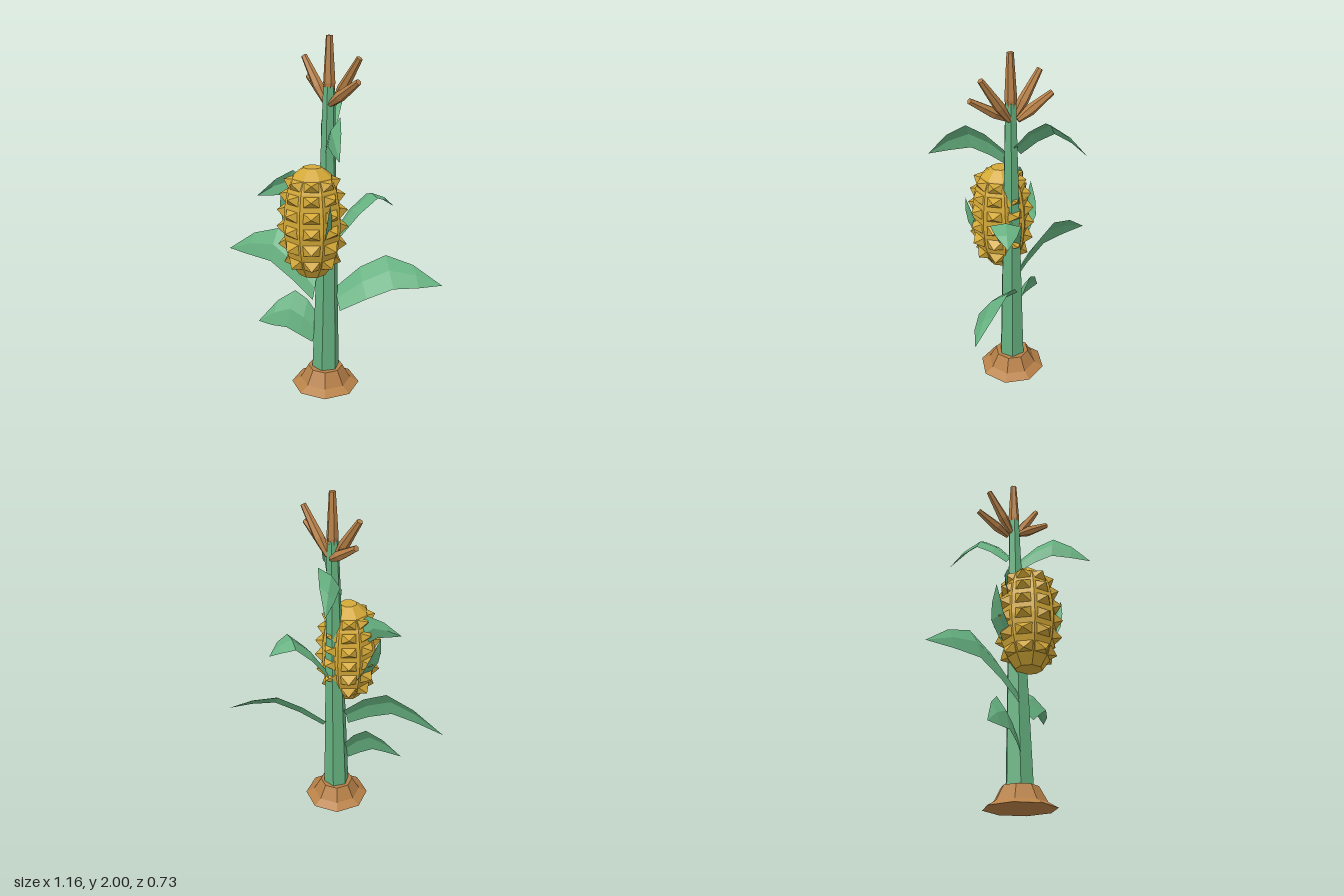
import * as THREE from 'three';

const V = (a) => new THREE.Vector3(...a);
const flat = (name, color) => {
  const m = new THREE.MeshStandardMaterial({ color, flatShading: true });
  m.name = name;
  return m;
};

export function createModel() {
  const group = new THREE.Group();
  group.name = 'cornPlant';
  const green = flat('leaf green', 0x66b180);
  green.side = THREE.DoubleSide;
  const brown = flat('soil brown', 0xb88148);
  const gold = flat('kernel gold', 0xd3a837);

  const add = (name, geo, mat, parent = group) => {
    const m = new THREE.Mesh(geo, mat);
    m.name = name;
    parent.add(m);
    return m;
  };
  // Faceted solid of revolution from [radius, height] pairs
  const lathe = (pts, sides, start = 0) =>
    new THREE.LatheGeometry(pts.map((p) => new THREE.Vector2(...p)), sides, start);

  // Soil mound
  add('soilMound', lathe([[0, 0], [0.197, 0], [0.145, 0.03], [0.1, 0.112], [0, 0.112]], 8), brown)
    .position.set(0.085, 0, 0.064);

  // Six-sided stalk, leaning slightly back
  const stalk = new THREE.CylinderGeometry(0.032, 0.081, 1.68, 6, 1, false, Math.PI / 6);
  stalk.translate(0, 0.84, 0);
  const sp = stalk.attributes.position;
  for (let i = 0; i < sp.count; i++) sp.setZ(i, sp.getZ(i) - sp.getY(i) * 0.014);
  add('stalk', stalk, green).position.set(0.085, 0.06, 0.063);

  // Leaf: arched ribbon with a raised midrib; half is the vector from midrib to edge
  const widths = [0.7, 0.95, 1, 0.68, 0];
  const leaf = (name, base, mid, tip, half, rib = 0.018) => {
    const curve = new THREE.CatmullRomCurve3([base, mid, tip].map(V));
    const h = V(half), pos = [], idx = [];
    widths.forEach((w, i) => {
      const c = curve.getPoint(i / 4);
      const up = curve.getTangent(i / 4).cross(h).normalize();
      if (up.y < 0) up.negate();
      const side = h.clone().multiplyScalar(w);
      pos.push(...c.clone().add(side), ...c.clone().addScaledVector(up, rib * w), ...c.clone().sub(side));
      if (i < 4) {
        for (const k of [i * 3, i * 3 + 1]) idx.push(k, k + 1, k + 3, k + 1, k + 4, k + 3);
      }
    });
    const g = new THREE.BufferGeometry();
    g.setAttribute('position', new THREE.Float32BufferAttribute(pos, 3));
    g.setIndex(idx);
    g.computeVertexNormals();
    add(name, g, green);
  };
  leaf('lowerRightLeaf', [0.04, 0.6, 0.1], [-0.25, 0.8, 0.155], [-0.58, 0.71, 0.237], [-0.01, 0.09, -0.04]);
  leaf('lowerLeftLeaf', [0.14, 0.54, 0.02], [0.35, 0.71, -0.18], [0.577, 0.64, -0.37], [-0.07, 0.07, -0.045]);
  leaf('bottomLeaf', [0.04, 0.34, 0.1], [-0.09, 0.45, 0.175], [-0.255, 0.35, 0.285], [-0.01, 0.1, -0.045]);
  leaf('middleRightLeaf', [0.03, 1.1, 0.08], [-0.07, 1.22, 0.2], [-0.177, 1.15, 0.33], [0.02, 0.07, -0.02]);
  leaf('middleLeftLeaf', [0.12, 0.92, 0.01], [0.24, 1.14, -0.14], [0.3, 1.07, -0.258], [0.075, 0.01, 0.035]);
  leaf('upperRightLeaf', [0.06, 1.47, 0.02], [-0.05, 1.62, -0.125], [-0.177, 1.49, -0.283], [0.05, 0.05, -0.03]);
  leaf('upperLeftLeaf', [0.11, 1.43, 0.06], [0.265, 1.545, 0.18], [0.44, 1.44, 0.315], [0.025, 0.075, -0.02]);
  // Husks beside the cob
  leaf('rightHusk', [0.01, 0.82, 0.14], [-0.11, 1.0, 0.15], [-0.14, 1.17, 0.19], [0, 0, 0.06], 0.01);
  leaf('leftHusk', [0.16, 0.82, 0.17], [0.25, 1.0, 0.2], [0.28, 1.17, 0.22], [0.01, 0, 0.035], 0.01);

  // Cob body with rings of pyramid kernels
  const cob = new THREE.Group();
  cob.name = 'cob';
  cob.position.set(0.085, 0, 0.163);
  group.add(cob);
  const profile = [[0, 0.725], [0.075, 0.725], [0.12, 0.79], [0.15, 0.88], [0.165, 1.0],
    [0.16, 1.11], [0.142, 1.21], [0.11, 1.28], [0.05, 1.33], [0, 1.33]];
  add('cobBody', lathe(profile, 8, Math.PI / 8), gold, cob);
  const kernel = new THREE.ConeGeometry(0.062, 0.05, 4);
  kernel.rotateY(Math.PI / 4).translate(0, 0.017, 0).scale(1.1, 1, 0.75);
  const rows = [[0.81, 0.122, -0.5], [0.905, 0.146, -0.2], [1.0, 0.153, 0], [1.09, 0.15, 0.1],
    [1.175, 0.138, 0.2], [1.25, 0.117, 0.4]];
  rows.forEach(([y, r, tilt], j) => {
    for (let i = 0; i < 8; i++) {
      const a = (i * Math.PI) / 4;
      const k = add(`kernel${j}_${i}`, kernel, gold, cob);
      k.position.set(Math.sin(a) * r, y, Math.cos(a) * r);
      k.rotation.set(Math.PI / 2 - tilt, a, 0, 'YXZ');
      k.scale.setScalar(0.6 + r * 2.7);
    }
  });

  // Tassel spikes
  const spike = (name, from, to, r) => {
    const a = V(from), d = V(to).sub(a), l = d.length();
    const m = add(name, lathe([[0, 0], [r * 0.5, 0], [r, l * 0.35], [r * 0.55, l], [0, l]], 6), brown);
    m.position.copy(a);
    m.quaternion.setFromUnitVectors(new THREE.Vector3(0, 1, 0), d.normalize());
  };
  spike('tasselCenter', [0.085, 1.63, 0.038], [0.085, 2, 0.038], 0.033);
  [[0.275, 1.895, 0.012], [0.315, 1.785, 0.06], [-0.1, 1.885, 0.045], [-0.135, 1.77, -0.018]]
    .forEach((tip, i) => spike(`tasselBranch${i}`, [i < 2 ? 0.105 : 0.065, 1.65, tip[2] * 0.6 + 0.015], tip, 0.03));

  return group;
}
